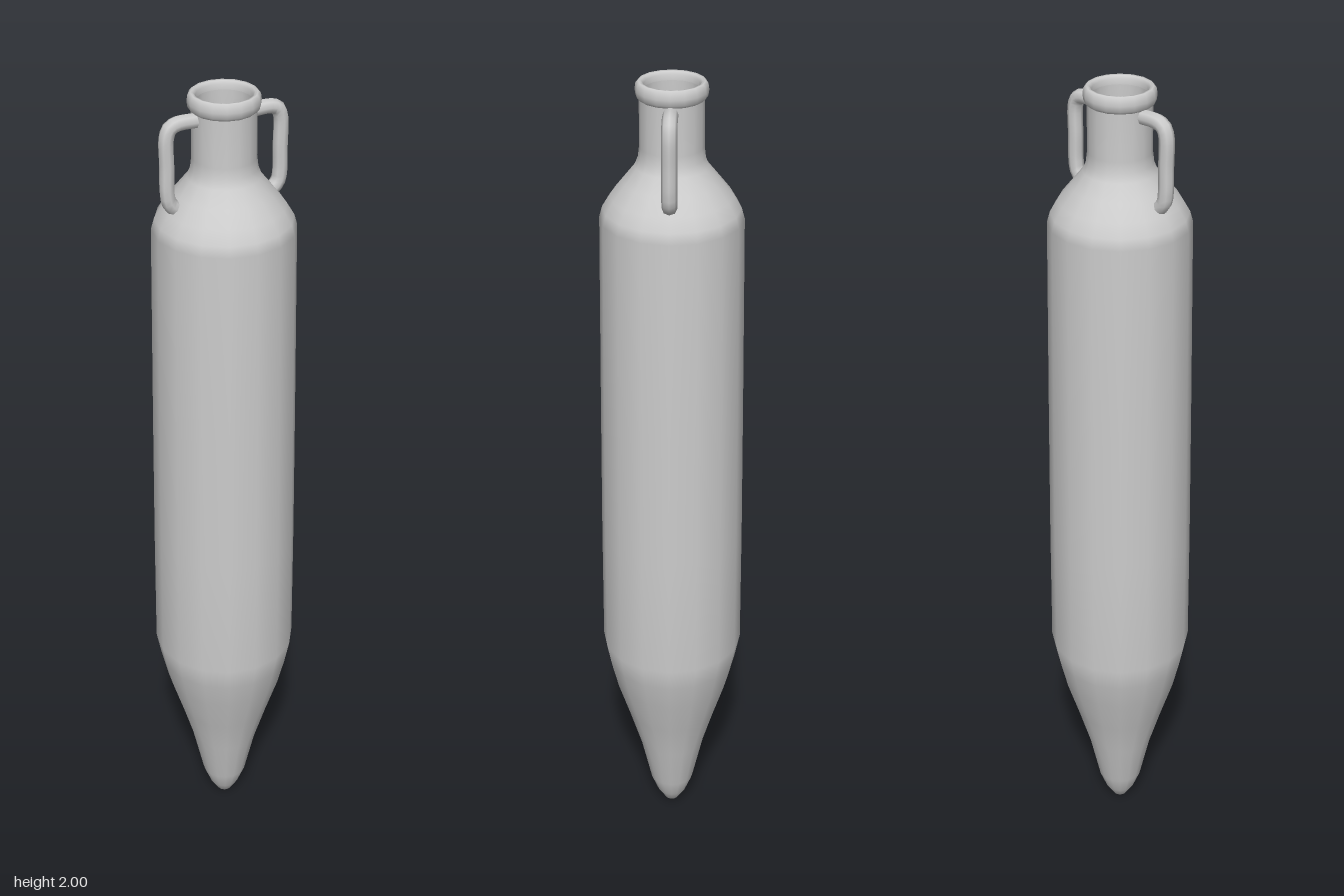
import * as THREE from 'three';

const SIDES = 16;

export function createModel() {
  const group = new THREE.Group();
  const material = new THREE.MeshStandardMaterial({ color: 0xcccccc });

  const add = (name, geometry) => {
    const mesh = new THREE.Mesh(geometry, material);
    mesh.name = name;
    group.add(mesh);
    return mesh;
  };
  const lathe = (points) =>
    new THREE.LatheGeometry(points.map(([r, y]) => new THREE.Vector2(r, y)), SIDES);

  // Outer wall: pointed foot, long body, sloping shoulder and neck
  add('body', lathe([
    [0, 0], [0.018, 0.012], [0.037, 0.042], [0.056, 0.09], [0.083, 0.21],
    [0.113, 0.31], [0.145, 0.41], [0.162, 0.48], [0.174, 0.54],
    [0.173, 0.85], [0.17, 1.2], [0.165, 1.68], [0.158, 1.705], [0.14, 1.735],
    [0.112, 1.77], [0.084, 1.805], [0.076, 1.825], [0.073, 1.85], [0.073, 1.96],
  ]));

  // Rounded lip around the mouth
  add('lip', lathe([
    [0.073, 1.96], [0.08, 1.967], [0.082, 1.98], [0.08, 1.994], [0.074, 2],
    [0.068, 1.999], [0.063, 1.992], [0.062, 1.98],
  ]));

  // Inner wall, running from the mouth down to the hollow tip
  add('innerWall', lathe([
    [0.062, 1.98], [0.062, 1.84], [0.072, 1.8], [0.125, 1.735], [0.152, 1.68],
    [0.16, 0.54], [0.13, 0.41], [0.07, 0.21], [0.04, 0.09], [0, 0.03],
  ]));

  // A handle on each side, from below the lip to the shoulder
  for (const [name, side] of [['leftHandle', 1], ['rightHandle', -1]]) {
    const path = new THREE.CatmullRomCurve3([
      [0.066, 1.946], [0.115, 1.946], [0.132, 1.938], [0.14, 1.918],
      [0.14, 1.85], [0.14, 1.79], [0.135, 1.765], [0.113, 1.742],
    ].map(([x, y]) => new THREE.Vector3(side * x, y, 0)), false, 'centripetal');
    add(name, new THREE.TubeGeometry(path, 24, 0.0175, 8, false));
  }

  return group;
}
